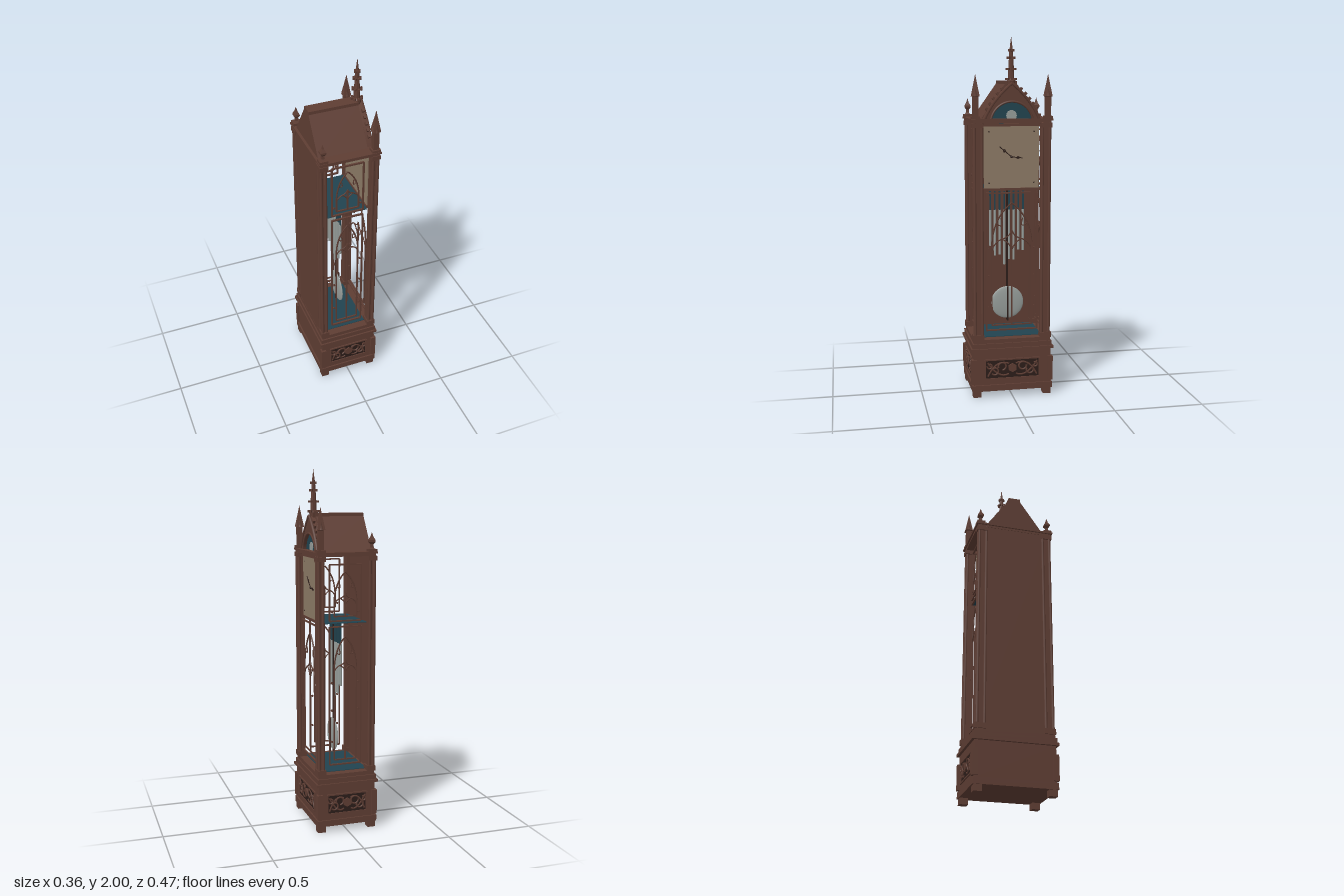
import * as THREE from 'three';

const mat = (name, color, side = THREE.FrontSide) => {
  const m = new THREE.MeshStandardMaterial({ color, side });
  m.name = name;
  return m;
};

export function createModel() {
  const wood = mat('walnut', 0x5e3d33);
  const dark = mat('dark carving', 0x2c1d19);
  const tan = mat('dial cream', 0x8c7a66);
  const teal = mat('deep teal', 0x21434f, THREE.DoubleSide);
  const silver = mat('silver', 0x959c99);
  const root = new THREE.Group();
  root.name = 'longcaseClock';

  const add = (name, geo, m, x = 0, y = 0, z = 0, parent = root) => {
    const mesh = new THREE.Mesh(geo, m);
    mesh.name = name;
    mesh.position.set(x, y, z);
    parent.add(mesh);
    return mesh;
  };
  const box = (name, m, w, h, d, x, y, z, parent) => add(name, new THREE.BoxGeometry(w, h, d), m, x, y, z, parent);
  // box given by half sizes and bottom / top heights, centred on the case
  const slab = (name, hx, hz, y0, y1) => box(name, wood, hx * 2, y1 - y0, hz * 2, 0, (y0 + y1) / 2, 0);
  const v = (x, y) => new THREE.Vector3(x, y, 0);
  const group = (name, x, y, z, ry) => {
    const g = new THREE.Group();
    g.name = name;
    g.position.set(x, y, z);
    g.rotation.y = ry;
    root.add(g);
    return g;
  };
  const bow = (name, a, c, b, r, parent, m = wood) =>
    add(name, new THREE.TubeGeometry(new THREE.QuadraticBezierCurve3(a, c, b), 10, r, 5), m, 0, 0, 0, parent);
  const lathe = (pts, n) => {
    const g = new THREE.LatheGeometry(pts.map(p => new THREE.Vector2(...p)), n, Math.PI / n).toNonIndexed();
    g.computeVertexNormals();
    return g;
  };

  // Plinth, mouldings and cornice
  slab('plinthFoot', 0.174, 0.228, 0.035, 0.07);
  slab('plinthBody', 0.165, 0.22, 0.07, 0.27);
  slab('plinthMoulding', 0.179, 0.234, 0.268, 0.283);
  slab('plinthStep', 0.171, 0.225, 0.283, 0.31);
  slab('caseSill', 0.163, 0.217, 0.31, 0.332);
  slab('cornice', 0.164, 0.217, 1.537, 1.55);
  slab('corniceLip', 0.172, 0.226, 1.55, 1.56);

  // Everything repeated at the four corners
  for (const sx of [-1, 1]) for (const sz of [-1, 1]) {
    box('foot', wood, 0.045, 0.036, 0.045, sx * 0.147, 0.018, sz * 0.2);
    box('plinthCorner', wood, 0.03, 0.14, 0.03, sx * 0.16, 0.15, sz * 0.217);
    box('post', wood, 0.034, 1.21, 0.05, sx * 0.145, 0.935, sz * 0.186);
    for (const [x, z] of [[0.158, 0.208], [0.134, 0.207], [0.158, 0.168]])
      add('postShaft', new THREE.CylinderGeometry(0.009, 0.009, 1.21, 10), wood, sx * x, 0.935, sz * z);
    for (const [y, h] of [[0.345, 0.03], [1.525, 0.025]])
      box('postCollar', wood, 0.048, h, 0.062, sx * 0.145, y, sz * 0.19);
    box('pinnacleBlock', wood, 0.046, 0.018, 0.046, sx * 0.145, 1.565, sz * 0.2);
    if (sx > 0) {
      // tall front pinnacle with little gables
      box('pinnacleShaft', wood, 0.03, 0.12, 0.03, 0.145, 1.63, sz * 0.2);
      add('pinnacleSpire', lathe([[0.0, 1.675], [0.03, 1.68], [0.025, 1.7], [0.012, 1.75], [0, 1.8]], 4), wood, 0.145, 0, sz * 0.2);
      for (let k = 0; k < 4; k++) {
        const g = add('pinnacleGable', new THREE.ConeGeometry(0.013, 0.04, 4), wood,
          0.145 + 0.014 * Math.sin(k * Math.PI / 2), 1.7, sz * 0.2 + 0.014 * Math.cos(k * Math.PI / 2));
        g.rotation.y = Math.PI / 4;
      }
    } else {
      add('backFinial', lathe([[0.022, 1.57], [0.012, 1.582], [0.01, 1.6], [0.022, 1.612], [0.022, 1.622],
        [0.009, 1.64], [0, 1.665]], 4), wood, -0.145, 0, sz * 0.2);
    }
  }

  // Solid back and interior floors
  box('backPanel', wood, 0.014, 1.21, 0.4, -0.155, 0.935, 0);
  for (const y of [0.336, 1.172]) box('glassShelf', teal, 0.25, 0.003, 0.35, -0.005, y, 0);

  // Tracery window facing +z in its own plane: frame, pointed arch, sub-arches and diamond
  function tracery(g, hw, y0, y1, aw, base, spring, apex) {
    const r = 0.0045;
    for (const s of [-1, 1]) {
      box('frameStile', wood, 0.008, y1 - y0, 0.01, s * hw, (y0 + y1) / 2, 0, g);
      box('frameRail', wood, hw * 2, 0.008, 0.01, 0, s > 0 ? y1 : y0, 0, g);
      box('jamb', wood, 0.007, spring - base, 0.008, s * aw, (spring + base) / 2, 0, g);
      const h = apex - spring, q = aw * 0.42;
      bow('mainArch', v(s * aw, spring), v(s * aw * 0.9, spring + h * 0.65), v(0, apex), r, g);
      bow('subArchOuter', v(s * aw, spring - q), v(s * aw * 0.9, spring), v(s * aw / 2, spring + q * 0.4), r * 0.8, g);
      bow('subArchInner', v(0, spring - q), v(s * aw * 0.1, spring), v(s * aw / 2, spring + q * 0.4), r * 0.8, g);
      bow('diamondTop', v(0, spring + q * 1.5), v(s * aw * 0.1, spring + q * 0.6), v(s * aw * 0.5, spring + q * 0.4), r * 0.8, g);
      bow('cusp', v(s * aw * 0.8, spring + h * 0.5), v(s * aw * 0.35, spring + h * 0.3), v(s * aw * 0.55, spring + h * 0.62), r * 0.7, g);
      const n = y1 - y0 > 0.5 ? [0.17, 0.4, 0.6] : [0.16];
      for (const t of n) {
        const c = add('screw', new THREE.CylinderGeometry(0.006, 0.006, 0.008, 8), wood,
          s * (aw + hw) / 2, y0 + (y1 - y0) * t, 0, g);
        c.rotation.x = Math.PI / 2;
      }
    }
    box('sillBar', wood, aw * 2, 0.007, 0.008, 0, base, 0, g);
    box('mullion', wood, 0.007, spring + aw * 0.6 - base, 0.008, 0, (spring + aw * 0.6 + base) / 2, 0, g);
  }
  for (const s of [-1, 1]) {
    const g = group('sideWindows', 0, 0, s * 0.185, s > 0 ? 0 : Math.PI);
    tracery(g, 0.09, 0.378, 1.155, 0.064, 0.405, 0.93, 1.1);
    tracery(g, 0.09, 1.187, 1.493, 0.064, 1.212, 1.3, 1.455);
  }
  tracery(group('frontDoor', 0.145, 0, 0, Math.PI / 2), 0.143, 0.382, 1.155, 0.112, 0.41, 0.88, 1.1);

  // Carved plinth panels on the front and both sides
  function carving(g, hw) {
    for (const s of [-1, 1]) {
      box('panelRail', wood, hw * 2, 0.008, 0.01, 0, 0.16 + s * 0.055, 0, g);
      box('panelStile', wood, 0.008, 0.11, 0.01, s * hw, 0.16, 0, g);
      for (const [t, y, r] of [[0.38, 0.175, 0.022], [0.65, 0.148, 0.02], [0.84, 0.178, 0.013]])
        add('scroll', new THREE.TorusGeometry(r, 0.005, 5, 14, 5), wood, s * hw * t, y, 0.002, g).rotation.z = s * t * 4;
      bow('leafStem', v(s * 0.02, 0.13), v(s * hw * 0.5, 0.1), v(s * hw * 0.92, 0.2), 0.005, g);
      bow('leafTendril', v(s * 0.02, 0.19), v(s * hw * 0.6, 0.22), v(s * hw * 0.9, 0.12), 0.005, g);
    }
    box('panelGround', dark, hw * 2, 0.11, 0.002, 0, 0.16, -0.001, g);
    const boss = add('shield', new THREE.CylinderGeometry(0.026, 0.026, 0.012, 6), wood, 0, 0.165, 0.002, g);
    boss.rotation.x = Math.PI / 2;
  }
  carving(group('frontCarving', 0.1675, 0, 0, Math.PI / 2), 0.155);
  for (const s of [-1, 1]) carving(group('sideCarving', 0, 0, s * 0.2225, s > 0 ? 0 : Math.PI), 0.115);

  // Dial with hands and corner pins
  const dial = group('dial', 0.132, 1.35, 0, Math.PI / 2);
  box('dialPlate', tan, 0.305, 0.338, 0.012, 0, 0, 0, dial);
  box('dialSill', wood, 0.32, 0.014, 0.022, 0, -0.176, 0, dial);
  box('dialHeadRail', wood, 0.32, 0.012, 0.022, 0, 0.175, 0, dial);
  for (const [len, ang] of [[0.088, 2.44], [0.06, -0.1]]) {
    const hand = new THREE.Group();
    hand.name = 'hand';
    hand.position.set(0, 0.002, 0.009);
    hand.rotation.z = ang;
    dial.add(hand);
    box('handBlade', dark, len, 0.005, 0.003, len / 2, 0, 0, hand);
    add('handLoop', new THREE.TorusGeometry(0.007, 0.002, 4, 10), dark, len * 0.6, 0, 0, hand);
  }
  add('handHub', new THREE.SphereGeometry(0.007, 10, 8), dark, 0, 0.002, 0.009, dial);
  for (const x of [-1, 1]) for (const y of [-1, 1])
    add('dialPin', new THREE.SphereGeometry(0.004, 8, 6), dark, x * 0.125, y * 0.14, 0.006, dial);

  // Pendulum
  box('pendulumRod', dark, 0.008, 0.77, 0.01, 0.008, 0.785, 0);
  const bob = add('pendulumBob', new THREE.SphereGeometry(0.094, 32, 16), silver, 0.012, 0.505, 0);
  bob.scale.x = 0.13;
  box('bobStrap', dark, 0.004, 0.2, 0.008, 0.026, 0.5, 0);

  // Chime tubes on teal hangers, shorter towards the outside
  for (let i = 0; i < 8; i++) {
    const z = -0.094 + i * 0.027, low = 0.71 + Math.abs(z) * 1.0 + (i % 2) * 0.03;
    add('chimeTube', new THREE.CylinderGeometry(0.007, 0.007, 1.04 - low, 10), silver, -0.005, (1.04 + low) / 2, z);
    box('chimeHanger', teal, 0.006, 0.12, 0.009, -0.005, 1.1, z);
  }

  // Roof with flat ridge
  const roofShape = new THREE.Shape([[-0.168, 1.555], [0.168, 1.555], [0.034, 1.745], [0.034, 1.762],
    [-0.034, 1.762], [-0.034, 1.745]].map(p => new THREE.Vector2(...p)));
  const roof = group('roof', -0.157, 0, 0, Math.PI / 2);
  add('roofBody', new THREE.ExtrudeGeometry(roofShape, { depth: 0.275, bevelEnabled: false }), wood, 0, 0, 0, roof);

  // Front gable with the moon opening
  const gable = group('gable', 0.118, 0, 0, Math.PI / 2);
  const gs = new THREE.Shape();
  gs.moveTo(-0.168, 1.53);
  gs.lineTo(0.168, 1.53);
  gs.quadraticCurveTo(0.12, 1.66, 0, 1.755);
  gs.quadraticCurveTo(-0.12, 1.66, -0.168, 1.53);
  const hole = new THREE.Path();
  hole.absarc(0, 1.535, 0.113, 0, Math.PI, false);
  hole.closePath();
  gs.holes.push(hole);
  add('gablePlate', new THREE.ExtrudeGeometry(gs, { depth: 0.03, bevelEnabled: false, curveSegments: 20 }), wood, 0, 0, 0, gable);
  add('moonSky', new THREE.CircleGeometry(0.118, 32, 0, Math.PI), teal, 0, 1.53, 0.014, gable);
  const moon = add('moonFace', new THREE.CylinderGeometry(0.029, 0.029, 0.004, 24), silver, 0, 1.577, 0.017, gable);
  moon.rotation.x = Math.PI / 2;
  add('moonArchTrim', new THREE.TorusGeometry(0.117, 0.006, 6, 28, Math.PI), wood, 0, 1.535, 0.03, gable);
  for (const s of [-1, 1]) {
    const a = v(s * 0.162, 1.532), c = v(s * 0.116, 1.655), b = v(0, 1.75);
    bow('gableTrim', a, c, b, 0.008, gable).position.z = 0.03;
    // crockets climbing the gable
    const curve = new THREE.QuadraticBezierCurve3(a, c, b);
    for (let k = 0; k < 5; k++) {
      const p = curve.getPoint(0.3 + k * 0.125);
      box('crocket', wood, 0.015, 0.018, 0.013, p.x + s * 0.008, p.y + 0.008, 0.018, gable).rotation.z = -s * 0.7;
    }
  }

  // Central spire with crocketed rings
  add('spire', lathe([[0.0, 1.73], [0.02, 1.735], [0.024, 1.765], [0.017, 1.775], [0.016, 1.82], [0.013, 1.87],
    [0.01, 1.92], [0.005, 1.96], [0, 2]], 8), wood, 0.122, 0, 0);
  for (const [y, r] of [[1.772, 0.026], [1.825, 0.023], [1.885, 0.017], [1.925, 0.011]])
    for (let k = 0; k < 8; k++) {
      const a = k * Math.PI / 4;
      const leaf = box('spireLeaf', wood, 0.013, 0.012, 0.007, 0.122 + r * Math.cos(a), y, r * Math.sin(a));
      leaf.rotation.y = -a;
    }
  return root;
}
